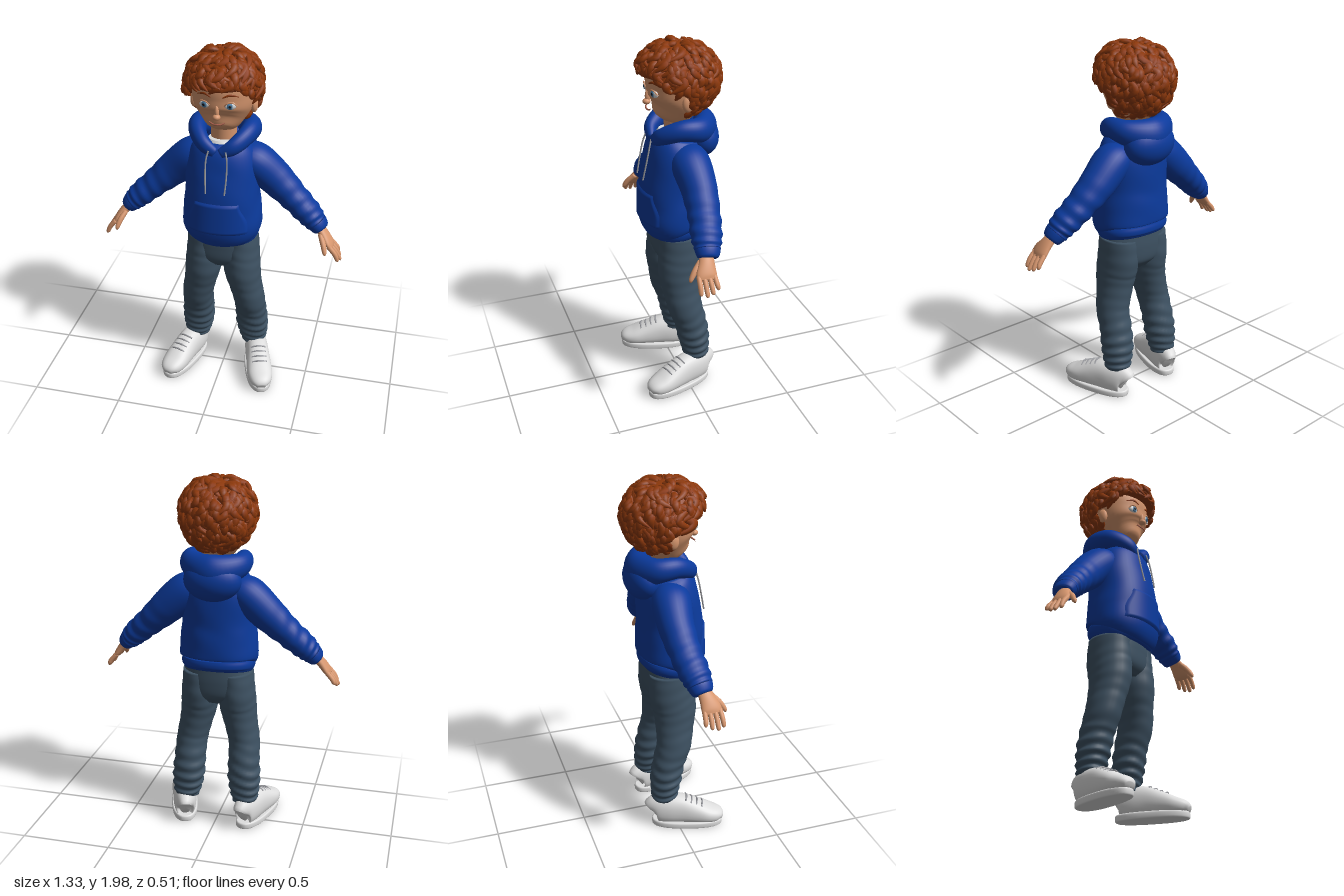
import * as THREE from 'three';
import { mergeGeometries } from 'three/addons/utils/BufferGeometryUtils.js';

const mat = (name, color) => Object.assign(new THREE.MeshStandardMaterial({ color }), { name });
const Y = new THREE.Vector3(0, 1, 0), Z = new THREE.Vector3(0, 0, 1);
const smooth = THREE.MathUtils.smoothstep;

// Closed smooth skin through elliptical sections [x, y, z, radiusAcross, radiusAlongRef]
function loft(sections, { ref = Z, seg = 28, rows = 36, power = 2, ripple = () => 0 } = {}) {
  const path = new THREE.CatmullRomCurve3(sections.map(s => new THREE.Vector3(s[0], s[1], s[2])), false, 'catmullrom');
  const radii = new THREE.CatmullRomCurve3(sections.map(s => new THREE.Vector3(s[3], s[4], 0)), false, 'catmullrom');
  const pos = [], index = [];
  const bend = v => Math.sign(v) * Math.abs(v) ** (2 / power);
  for (let i = 0; i <= rows; i++) {
    const t = i / rows, c = path.getPoint(t), r = radii.getPoint(t), dir = path.getTangent(t);
    const side = dir.clone().cross(ref).normalize(), up = side.clone().cross(dir);
    for (let j = 0; j < seg; j++) {
      const a = j / seg * Math.PI * 2, k = 1 + ripple(t, a);
      const p = c.clone().addScaledVector(side, bend(Math.cos(a)) * r.x * k).addScaledVector(up, bend(Math.sin(a)) * r.y * k);
      pos.push(p.x, p.y, p.z);
    }
  }
  const first = (rows + 1) * seg;
  for (const t of [0, 1]) pos.push(...path.getPoint(t).toArray());
  for (let j = 0; j < seg; j++) {
    const n = (j + 1) % seg, last = rows * seg;
    for (let i = 0; i < rows; i++) {
      const a = i * seg + j, b = i * seg + n;
      index.push(a, a + seg, b, b, a + seg, b + seg);
    }
    index.push(first, j, n, first + 1, last + n, last + j);
  }
  const g = new THREE.BufferGeometry();
  g.setAttribute('position', new THREE.Float32BufferAttribute(pos, 3));
  g.setIndex(index);
  g.computeVertexNormals();
  return g;
}

// Curly hair: a scalp cap and many bent, tapered locks
const scalpPoint = (th, az, r) => new THREE.Vector3(
  0.18 * Math.sin(th) * Math.sin(az) * r,
  1.785 + (Math.cos(th) > 0 ? 0.175 : 0.19) * Math.cos(th) * r,
  -0.005 + 0.203 * Math.sin(th) * Math.cos(az) * r);
const hairline = f => 1.61 + 0.12 * smooth(f, -0.35, -0.1) + 0.08 * smooth(f, 0.3, 0.7);

function scalpGeometry() {
  const g = new THREE.SphereGeometry(1, 48, 36), p = g.attributes.position;
  for (let i = 0; i < p.count; i++) {
    const th = Math.acos(THREE.MathUtils.clamp(p.getY(i), -1, 1)), az = Math.atan2(p.getX(i), p.getZ(i));
    let v = scalpPoint(th, az, 1);
    if (v.y < hairline(Math.cos(az))) v = scalpPoint(th, az, 0.6);
    p.setXYZ(i, v.x, v.y, v.z);
  }
  g.computeVertexNormals();
  return g;
}

function locksGeometry() {
  let seed = 7;
  const rand = () => (seed = (seed * 16807) % 2147483647) / 2147483647;
  const locks = [], count = 560, thick = [0.011, 0.021, 0.022, 0.015, 0.004];
  for (let i = 0; i < count; i++) {
    const th = Math.acos(1 - 2 * (i + 0.5) / count), az = i * 2.39996;
    const len = 0.36 + 0.16 * rand(), swirl = (rand() - 0.5) * 0.7, lift = 0.98 + 0.08 * rand(), flick = 0.12 * rand();
    if (th + len > 3 || scalpPoint(th + len, az, 1).y < hairline(Math.cos(az)) - 0.015) continue;
    const pts = thick.map((w, k) => {
      const t = k / 4, q = th + len * t;
      const v = scalpPoint(q, az + swirl * Math.sin(t * 3.4) / Math.max(Math.sin(q), 0.35),
        lift + 0.08 * Math.sin(Math.PI * t) + flick * t * t - 0.03);
      return [v.x, v.y, v.z, w, w * 0.7];
    });
    const out = scalpPoint(th + len / 2, az, 1).sub(new THREE.Vector3(0, 1.785, 0)).normalize();
    locks.push(loft(pts, { ref: out, seg: 7, rows: 8 }));
  }
  return mergeGeometries(locks);
}

export function createModel() {
  const model = new THREE.Group();
  model.name = 'boy';
  const skin = mat('skin', 0xd6966e), hair = mat('hair', 0x8c380b), blue = mat('hoodie blue', 0x0b3a9c);
  const denim = mat('trouser grey blue', 0x3e5263), white = mat('white', 0xdedede), grey = mat('lace grey', 0x9a9ba0);
  const iris = mat('iris blue', 0x4d7fa6), black = mat('pupil black', 0x15151a), lip = mat('lip', 0xa9604c);

  const add = (name, geo, material, parent = model) => {
    const m = new THREE.Mesh(geo, material);
    m.name = name;
    parent.add(m);
    return m;
  };
  const ball = (name, material, [x, y, z], [a, b, c], parent = model) =>
    add(name, new THREE.SphereGeometry(1, 28, 20).scale(a, b, c).translate(x, y, z), material, parent);
  const cord = (name, pts, r, material, parent = model) =>
    add(name, new THREE.TubeGeometry(new THREE.CatmullRomCurve3(pts.map(p => new THREE.Vector3(...p))), 14, r, 7), material, parent);

  // Head, neck and face
  add('head', loft([[0, 1.563, 0.07, 0.025, 0.035], [0, 1.578, 0.06, 0.072, 0.078], [0, 1.62, 0.03, 0.115, 0.122],
    [0, 1.67, 0.01, 0.148, 0.147], [0, 1.74, 0, 0.163, 0.155], [0, 1.82, 0, 0.163, 0.155],
    [0, 1.9, 0, 0.13, 0.12], [0, 1.94, 0, 0.05, 0.05]], { seg: 40 }), skin);
  add('neck', loft([[0, 1.4, -0.02, 0.08, 0.08], [0, 1.5, -0.01, 0.068, 0.07], [0, 1.64, 0, 0.068, 0.07]]), skin);
  ball('nose', skin, [0, 1.668, 0.157], [0.02, 0.016, 0.021]);
  ball('noseBridge', skin, [0, 1.695, 0.15], [0.012, 0.035, 0.016]);
  cord('mouth', [[-0.04, 1.636, 0.147], [-0.018, 1.628, 0.156], [0, 1.628, 0.158], [0.018, 1.628, 0.156], [0.04, 1.636, 0.147]], 0.004, lip);
  add('scalp', scalpGeometry(), hair);
  add('curls', locksGeometry(), hair);

  // Hoodie body and ribbed hem
  add('hoodieBody', loft([[0, 0.955, 0.008, 0.19, 0.15], [0, 1, 0.02, 0.216, 0.178], [0, 1.1, 0.02, 0.211, 0.18],
    [0, 1.2, 0.02, 0.2, 0.175], [0, 1.32, 0.008, 0.198, 0.165], [0, 1.42, 0, 0.178, 0.15], [0, 1.47, -0.01, 0.14, 0.12]],
    { seg: 48, power: 2.2, ripple: (t, a) => 0.005 * Math.sin(t * 24 + 3 * Math.sin(a * 2)) }), blue);
  add('hoodieHem', loft([[0, 0.925, 0.005, 0.19, 0.143], [0, 0.945, 0.008, 0.2, 0.157], [0, 0.97, 0.01, 0.204, 0.163],
    [0, 0.992, 0.012, 0.198, 0.16]], { seg: 72, rows: 12, power: 2.2, ripple: (t, a) => 0.004 * Math.sin(a * 36) }), blue);

  // Front pocket follows the belly, with its rim tucked in
  const pocket = new THREE.PlaneGeometry(2, 1, 28, 16), pp = pocket.attributes.position;
  for (let i = 0; i < pp.count; i++) {
    const u = pp.getX(i), v = pp.getY(i) + 0.5, y = 1 + 0.19 * v;
    const x = u * (0.172 - 0.047 * smooth(v, 0.25, 1)), rx = 0.217 - 0.085 * (y - 1), rz = 0.181 - 0.025 * (y - 1);
    const rim = Math.abs(u) > 0.99 || v < 0.01 || v > 0.99;
    pp.setXYZ(i, x, y, 0.02 + rz * (1 - (Math.abs(x) / rx) ** 2.2) ** (1 / 2.2) + (rim ? -0.006 : 0.009));
  }
  pocket.computeVertexNormals();
  add('pocket', pocket, blue);

  // Hood: a thick roll round the neck, and the bag hanging behind
  const roll = [[0.015, 1.45, 0.13, 0.022, 0.03], [0.085, 1.495, 0.105, 0.038, 0.045], [0.137, 1.535, 0.015, 0.048, 0.055],
    [0.122, 1.525, -0.09, 0.058, 0.068]];
  add('hoodRoll', loft([...roll, [0, 1.5, -0.15, 0.072, 0.095], ...roll.slice().reverse().map(([x, ...r]) => [-x, ...r])],
    { ref: Y, rows: 60 }), blue);
  ball('hoodBag', blue, [0, 1.455, -0.13], [0.155, 0.115, 0.098]);
  add('shirtCollar', loft([[0, 1.42, 0.02, 0.1, 0.1], [0, 1.47, 0.015, 0.09, 0.092], [0, 1.495, 0.012, 0.076, 0.08]]), white);

  // Trouser seat
  add('trouserSeat', loft([[0, 0.95, 0.003, 0.18, 0.13], [0, 0.87, 0.003, 0.198, 0.131], [0, 0.79, 0.005, 0.185, 0.122],
    [0, 0.74, 0.005, 0.1, 0.085]], { seg: 40, power: 2.2 }), denim);

  for (const s of [1, -1]) {
    const side = s > 0 ? 'left' : 'right';
    const m = pts => pts.map(([x, ...rest]) => [s * x, ...rest]);
    const part = (name, pts, material, opts) => add(side + name, loft(m(pts), opts), material);

    // Eye, brow and ear
    const eye = new THREE.Group();
    eye.name = side + 'Eye';
    eye.position.set(s * 0.066, 1.727, 0.136);
    eye.rotation.y = s * 0.3;
    model.add(eye);
    ball('eyeWhite', white, [0, 0, 0], [0.031, 0.021, 0.014], eye);
    ball('iris', iris, [-s * 0.003, 0, 0.009], [0.016, 0.017, 0.007], eye);
    ball('pupil', black, [-s * 0.003, 0, 0.013], [0.008, 0.008, 0.005], eye);
    cord('upperLid', [[-0.031, -0.002, 0.004], [-0.015, 0.018, 0.012], [0.012, 0.019, 0.012], [0.032, 0, 0.003]], 0.0035, skin, eye);
    part('Brow', [[0.03, 1.772, 0.152, 0.004, 0.004], [0.065, 1.785, 0.143, 0.007, 0.005], [0.105, 1.772, 0.119, 0.003, 0.003]], hair, { seg: 8, rows: 10 });
    ball(side + 'Ear', skin, [s * 0.158, 1.685, -0.01], [0.02, 0.044, 0.03]);

    // Sleeve, cuff and drawstring
    part('Sleeve', [[0.1, 1.4, -0.01, 0.07, 0.09], [0.17, 1.36, -0.022, 0.098, 0.105], [0.27, 1.27, -0.03, 0.095, 0.095],
      [0.38, 1.17, -0.018, 0.077, 0.085], [0.47, 1.09, 0.002, 0.068, 0.08], [0.515, 1.045, 0.012, 0.056, 0.066]], blue,
      { rows: 56, ripple: (t, a) => 0.045 * smooth(t, 0.35, 0.7) * Math.sin(t * 52 + 1.6 * Math.sin(a + 1)) });
    part('Cuff', [[0.495, 1.068, 0.008, 0.05, 0.064], [0.515, 1.047, 0.013, 0.054, 0.067], [0.537, 1.022, 0.018, 0.046, 0.058],
      [0.545, 1.013, 0.02, 0.036, 0.046]], blue, { rows: 14 });
    cord(side + 'Drawstring', m([[0.045, 1.475, 0.15], [0.055, 1.43, 0.163], [0.056, 1.34, 0.182], [0.05, 1.25, 0.2]]), 0.0045, grey);

    // Hand
    part('Palm', [[0.52, 1.04, 0.022, 0.024, 0.034], [0.56, 0.995, 0.035, 0.024, 0.042], [0.592, 0.952, 0.046, 0.021, 0.053],
      [0.61, 0.928, 0.048, 0.012, 0.046]], skin, { rows: 16 });
    for (let k = 0; k < 4; k++) {
      const z = 0.008 + 0.027 * k, end = [0.645, 0.655, 0.66, 0.65][k], low = [0.882, 0.866, 0.86, 0.868][k];
      part('Finger', [[0.594, 0.948, z, 0.013, 0.013], [0.628, 0.91, z * 1.08 - 0.004, 0.013, 0.013],
        [end - 0.006, low + 0.01, z * 1.15 - 0.008, 0.011, 0.011], [end, low, z * 1.15 - 0.008, 0.004, 0.005]], skin, { seg: 12, rows: 12 });
    }
    part('Thumb', [[0.545, 1, 0.06, 0.014, 0.018], [0.565, 0.965, 0.098, 0.015, 0.016], [0.577, 0.93, 0.122, 0.012, 0.012],
      [0.58, 0.914, 0.128, 0.004, 0.005]], skin, { seg: 12, rows: 14 });

    // Trouser leg, bunched up toward the ankle
    part('TrouserLeg', [[0.1, 0.92, 0.002, 0.095, 0.122], [0.104, 0.8, 0.004, 0.102, 0.128], [0.112, 0.7, 0.015, 0.102, 0.121],
      [0.13, 0.6, 0.01, 0.092, 0.107], [0.15, 0.5, 0, 0.088, 0.098], [0.156, 0.4, -0.03, 0.088, 0.09],
      [0.161, 0.3, -0.05, 0.09, 0.087], [0.167, 0.22, -0.06, 0.082, 0.077], [0.172, 0.16, -0.065, 0.068, 0.068]], denim,
      { rows: 90, ripple: (t, a) => (0.008 + 0.05 * smooth(t, 0.5, 0.78)) * Math.sin(t * 75 + 2 * Math.sin(a + s) + Math.sin(a * 2)) });

    // Shoe, toes turned out
    const shoe = new THREE.Group();
    shoe.name = side + 'Shoe';
    shoe.position.set(s * 0.222, 0, 0.057);
    shoe.rotation.y = s * 0.3;
    model.add(shoe);
    add('sole', loft([[0, 0, 0, 0.068, 0.192], [0, 0.006, 0, 0.075, 0.2], [0, 0.03, 0, 0.076, 0.201], [0, 0.038, 0, 0.07, 0.194]],
      { seg: 40, rows: 10, power: 2.4 }), white, shoe);
    add('shoeUpper', loft([[0, 0.09, -0.192, 0.03, 0.06], [0, 0.1, -0.175, 0.055, 0.085], [0, 0.1, -0.11, 0.066, 0.092],
      [0, 0.096, -0.03, 0.068, 0.088], [0, 0.082, 0.05, 0.072, 0.07], [0, 0.068, 0.12, 0.072, 0.052],
      [0, 0.058, 0.175, 0.055, 0.038], [0, 0.045, 0.2, 0.025, 0.018]], { ref: Y, power: 2.3 }), white, shoe);
    for (let k = 0; k < 4; k++) {
      const z = -0.01 + 0.03 * k, y = 0.182 - 0.0125 * k;
      cord('lace', [[-0.042, y - 0.014, z], [0, y, z + 0.006], [0.042, y - 0.014, z]], 0.005, grey, shoe);
    }
  }
  return model;
}
